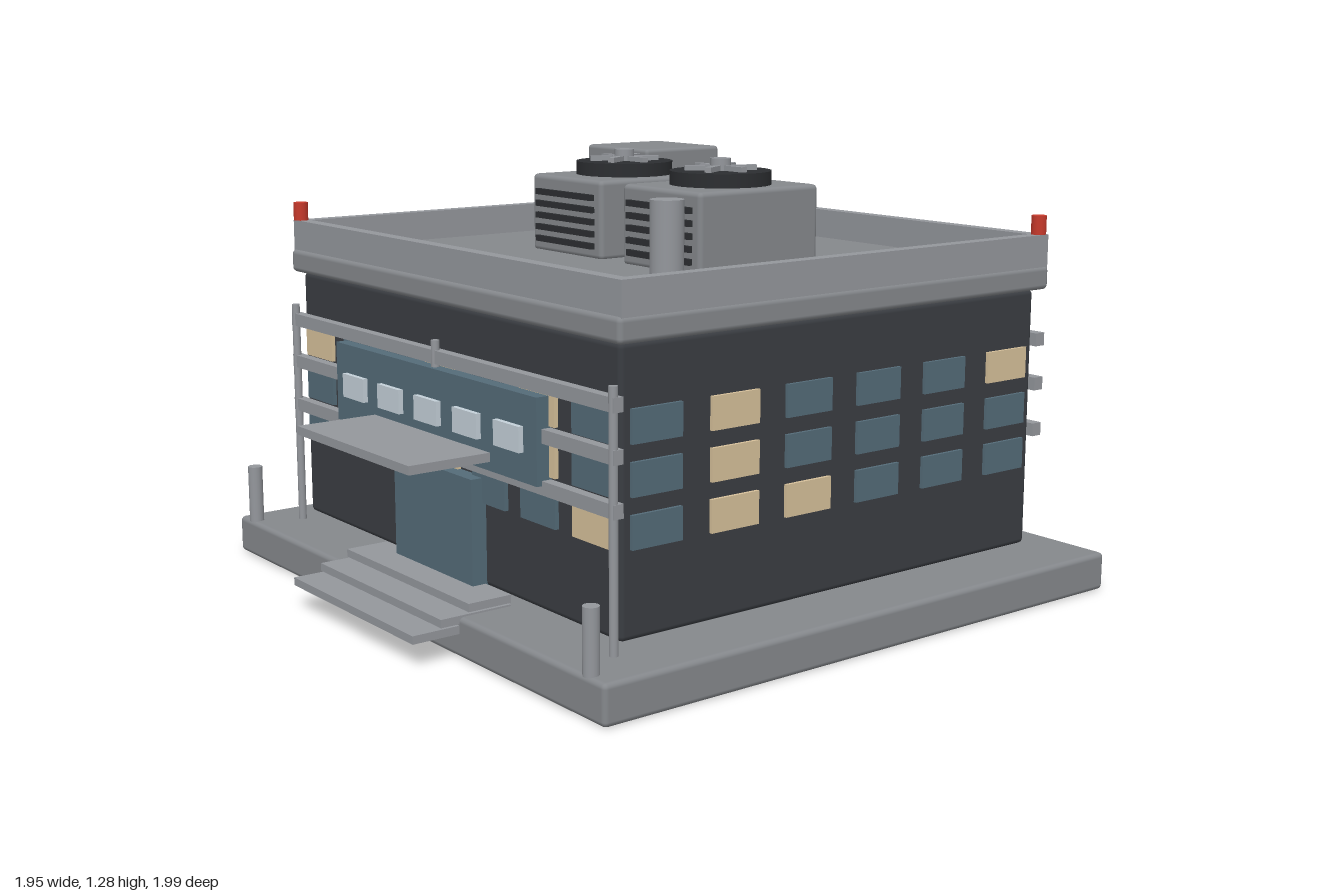
import * as THREE from 'three';
import { RoundedBoxGeometry } from 'three/addons/geometries/RoundedBoxGeometry.js';

const mat = (color) => new THREE.MeshStandardMaterial({ color });

export function createModel() {
  const root = new THREE.Group();
  root.name = 'officeBuilding';
  const M = {
    concrete: mat(0x85888c), metal: mat(0x94979c), wall: mat(0x3a3d42), glass: mat(0x546b78),
    lit: mat(0xd6c09a), pale: mat(0xc4d0d8), dark: mat(0x2c2e31), red: mat(0xc83a2c),
  };

  const add = (name, geo, m, x, y, z, parent = root) => {
    const mesh = new THREE.Mesh(geo, m);
    mesh.name = name;
    mesh.position.set(x, y, z);
    parent.add(mesh);
    return mesh;
  };
  // Box given by its limits; r > 0 rounds the edges
  const box = (name, m, [x0, x1], [y0, y1], [z0, z1], r = 0, parent = root) => {
    const s = [x1 - x0, y1 - y0, z1 - z0];
    const geo = r ? new RoundedBoxGeometry(...s, 2, r) : new THREE.BoxGeometry(...s);
    return add(name, geo, m, (x0 + x1) / 2, (y0 + y1) / 2, (z0 + z1) / 2, parent);
  };
  // Upright cylinder from y0 to y1
  const post = (name, m, r, x, z, y0, y1, sides = 16, parent = root) =>
    add(name, new THREE.CylinderGeometry(r, r, y1 - y0, sides), m, x, (y0 + y1) / 2, z, parent);

  // Plinth and main block
  box('plinth', M.concrete, [-0.975, 0.975], [0, 0.113], [-0.995, 0.855], 0.015);
  box('mainBlock', M.wall, [-0.815, 0.815], [0.137, 0.9], [-0.82, 0.685], 0.015);

  // Roof slab and parapet
  box('roofSlab', M.concrete, [-0.845, 0.845], [0.9, 0.97], [-0.85, 0.71], 0.015);
  for (const s of [-1, 1]) {
    box('parapetSide', M.metal, [s * 0.82 - 0.02, s * 0.82 + 0.02], [0.95, 1.06], [-0.845, 0.7]);
    const z = s > 0 ? 0.68 : -0.825;
    box('parapetEnd', M.metal, [-0.835, 0.835], [0.95, 1.06], [z - 0.02, z + 0.02]);
  }
  // Warning lights on opposite corners
  for (const [x, z] of [[0.82, -0.825], [-0.82, 0.685]]) {
    post('warningLight', M.red, 0.022, x, z, 1.06, 1.115, 12);
  }

  // Windows: lit panes are listed by column for each of three rows, top to bottom
  const rows = [0.69, 0.555, 0.42];
  const windows = (name, lit, count, place) => {
    const group = new THREE.Group();
    group.name = name;
    root.add(group);
    rows.forEach((y, r) => {
      for (let c = 0; c < count; c++) {
        const [x, z, side] = place(c);
        const size = side ? [0.02, 0.09, 0.16] : [0.16, 0.09, 0.02];
        const isLit = lit[r].includes(c);
        add(isLit ? 'litWindow' : 'window', new THREE.BoxGeometry(...size), isLit ? M.lit : M.glass, x, y, z, group);
      }
    });
  };
  const sideZ = (c) => 0.575 - c * 0.256;
  windows('frontWindows', [[0, 3, 5], [1, 5], [1, 3, 6]], 7, (c) => [(c - 3) * 0.235, 0.687, false]);
  windows('backWindows', [[1, 3, 5], [1, 2], [5, 6]], 7, (c) => [(3 - c) * 0.235, -0.822, false]);
  windows('leftWindows', [[1, 5], [1], [1, 2]], 6, (c) => [0.815, sideZ(c), true]);
  windows('rightWindows', [[0, 1, 4], [4], [5]], 6, (c) => [-0.815, sideZ(c), true]);

  // Horizontal rails on front and back, with front uprights
  for (const y of [0.753, 0.622, 0.485]) {
    box('frontRail', M.metal, [-0.835, 0.835], [y - 0.019, y + 0.019], [0.69, 0.72]);
    box('backRail', M.metal, [-0.835, 0.835], [y - 0.019, y + 0.019], [-0.85, -0.815]);
  }
  for (const x of [-0.822, 0.822]) post('railUpright', M.metal, 0.012, x, 0.712, 0.113, 0.8);
  post('railUpright', M.metal, 0.012, 0, 0.712, 0.44, 0.8);

  // Entrance: fascia panel with small lights, canopy, door and steps
  box('fasciaPanel', M.glass, [-0.525, 0.525], [0.49, 0.725], [0.69, 0.735]);
  for (let i = -2; i <= 2; i++) {
    box('fasciaLight', M.pale, [i * 0.202 - 0.06, i * 0.202 + 0.06], [0.57, 0.64], [0.725, 0.75]);
  }
  box('canopy', M.metal, [-0.305, 0.305], [0.515, 0.54], [0.7, 0.985]);
  box('canopyLight', M.pale, [-0.26, 0.26], [0.502, 0.516], [0.935, 0.955]);
  box('door', M.glass, [-0.205, 0.205], [0.14, 0.445], [0.68, 0.732]);
  for (let i = 0; i < 3; i++) {
    const top = 0.145 - i * 0.027;
    box('entranceStep', M.metal, [-0.33, 0.33], [top - 0.023, top], [0.69, 0.825 + i * 0.087]);
  }

  // Bollards
  for (const x of [-0.895, 0.895]) post('bollard', M.metal, 0.022, x, 0.835, 0.11, 0.287);

  // Roof cooling units with louvres and fans
  for (const x of [-0.23, 0.23]) {
    const unit = new THREE.Group();
    unit.name = 'coolingUnit';
    unit.position.set(x, 0, -0.12);
    root.add(unit);
    box('housing', M.concrete, [-0.178, 0.178], [0.965, 1.202], [-0.222, 0.222], 0.015, unit);
    for (let i = 0; i < 5; i++) {
      const y = 1.15 - i * 0.036;
      box('louvre', M.dark, [-0.145, 0.145], [y - 0.009, y + 0.009], [0.21, 0.234], 0, unit);
    }
    post('fanDrum', M.dark, 0.148, 0, 0, 1.195, 1.242, 32, unit);
    post('fanHub', M.metal, 0.03, 0, 0, 1.24, 1.277, 16, unit);
    for (let i = 0; i < 3; i++) {
      const blade = box('fanBlade', M.metal, [-0.105, 0.105], [1.242, 1.257], [-0.01, 0.01], 0, unit);
      blade.rotation.y = (i * Math.PI) / 3;
    }
  }

  // Roof housing and vent pipe
  box('roofHousing', M.concrete, [-0.67, -0.35], [0.965, 1.26], [-0.6, -0.3], 0.012);
  post('ventPipe', M.metal, 0.046, 0.555, 0.335, 0.965, 1.21, 24);

  return root;
}
